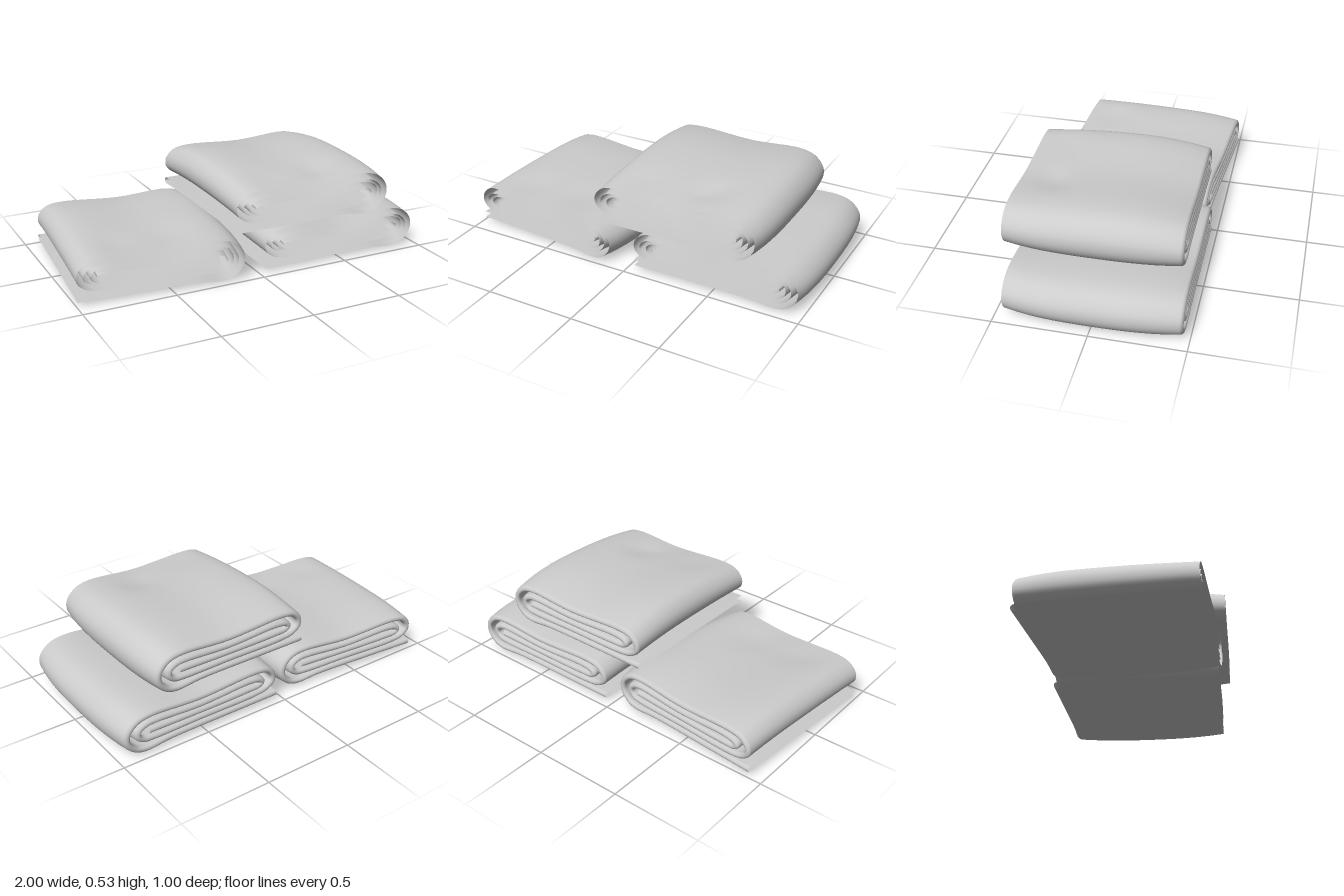
import * as THREE from 'three';

// Centre line of the rolled cloth (x, y), from the loose flap to the inner end
const ROLL = [
  [-0.48, 0.042], [-0.2, 0.043], [0.2, 0.042], [0.36, 0.03],
  [0.42, 0.047], [0.465, 0.1], [0.465, 0.155], [0.42, 0.207], [0.34, 0.23],
  [0, 0.214], [-0.34, 0.23],
  [-0.42, 0.216], [-0.46, 0.175], [-0.46, 0.135], [-0.42, 0.102], [-0.35, 0.088],
  [0, 0.087], [0.3, 0.084],
  [0.37, 0.091], [0.4, 0.115], [0.4, 0.15], [0.36, 0.175], [0.3, 0.182],
  [0, 0.168], [-0.3, 0.182],
  [-0.37, 0.172], [-0.39, 0.153], [-0.37, 0.135], [-0.3, 0.13],
  [0, 0.128], [0.34, 0.133],
];
const HALF_GAP = 0.018; // half the distance between the two sheets

// The doubled sheet: open at the front, folded shut at the back; [offset, z]
function sheetProfile(h) {
  const pts = [], n = 14, back = -h + HALF_GAP;
  for (let i = 0; i < n; i++) pts.push([HALF_GAP, h + (back - h) * i / n]);
  for (let i = 0; i <= 6; i++) {
    const a = Math.PI * i / 6;
    pts.push([HALF_GAP * Math.cos(a), back - HALF_GAP * Math.sin(a)]);
  }
  for (let i = n - 1; i >= 0; i--) pts.push([-HALF_GAP, h + (back - h) * i / n]);
  return pts;
}

function foldedCloth(name, { h, width, low, high, crest, dents }) {
  const curve = new THREE.CatmullRomCurve3(ROLL.map(([x, y]) => new THREE.Vector3(x, y, 0)));
  const steps = (ROLL.length - 1) * 6;
  const profile = sheetProfile(h);
  const pos = [], index = [], m = profile.length;

  for (let i = 0; i <= steps; i++) {
    const p = curve.getPoint(i / steps), t = curve.getTangent(i / steps);
    for (const [n, z] of profile) {
      let x = p.x + t.y * n, y = p.y - t.x * n;
      const u = z / h;
      // crown the stack along its depth
      const d = (u - crest) / (u > crest ? 1 - crest : 1 + crest);
      y *= high - (high - low) * d * d;
      // soft sag below and narrower ends on the rounded side
      const side = THREE.MathUtils.smoothstep(x, 0, 0.46);
      y -= 0.012 * side * (1 - u * u);
      x -= 0.035 * side * Math.abs(u) ** 3;
      // shallow creases in the upper layers
      for (const [dx, dz, r, depth] of dents) {
        const q = ((x - dx) ** 2 + (z - dz) ** 2) / (r * r);
        y -= depth * Math.exp(-q) * THREE.MathUtils.smoothstep(y, 0.05, 0.25);
      }
      pos.push(x * width, y, z);
    }
  }
  for (let i = 0; i < steps; i++) {
    for (let j = 0; j < m - 1; j++) {
      const a = i * m + j, b = a + m;
      index.push(a, b, a + 1, b, b + 1, a + 1);
    }
  }
  const geo = new THREE.BufferGeometry();
  geo.setAttribute('position', new THREE.Float32BufferAttribute(pos, 3));
  geo.setIndex(index);
  geo.computeVertexNormals();
  const mesh = new THREE.Mesh(geo, new THREE.MeshStandardMaterial({
    color: 0xcccccc, roughness: 0.9, side: THREE.DoubleSide,
  }));
  mesh.name = name;
  return mesh;
}

export function createModel() {
  const group = new THREE.Group();
  group.name = 'foldedCloths';

  const right = foldedCloth('lowerLeftCloth', {
    h: 0.458, width: 1.0, low: 0.95, high: 1.04, crest: -0.4,
    dents: [[-0.05, 0.32, 0.14, 0.012]],
  });
  right.position.set(0.517, 0, -0.012);

  const left = foldedCloth('lowerRightCloth', {
    h: 0.452, width: 0.96, low: 0.95, high: 1.04, crest: -0.4,
    dents: [[-0.22, 0.3, 0.1, 0.012], [0.1, 0.26, 0.12, 0.012]],
  });
  left.position.set(-0.498, 0, -0.01);
  left.rotation.y = -0.08;

  const top = foldedCloth('upperCloth', {
    h: 0.465, width: 0.98, low: 0.96, high: 1.13, crest: -0.2,
    dents: [[0.1, 0.28, 0.08, 0.02], [-0.25, 0.33, 0.1, 0.008]],
  });
  top.position.set(0.308, 0.25, 0.037);

  group.add(left, right, top);
  return group;
}
